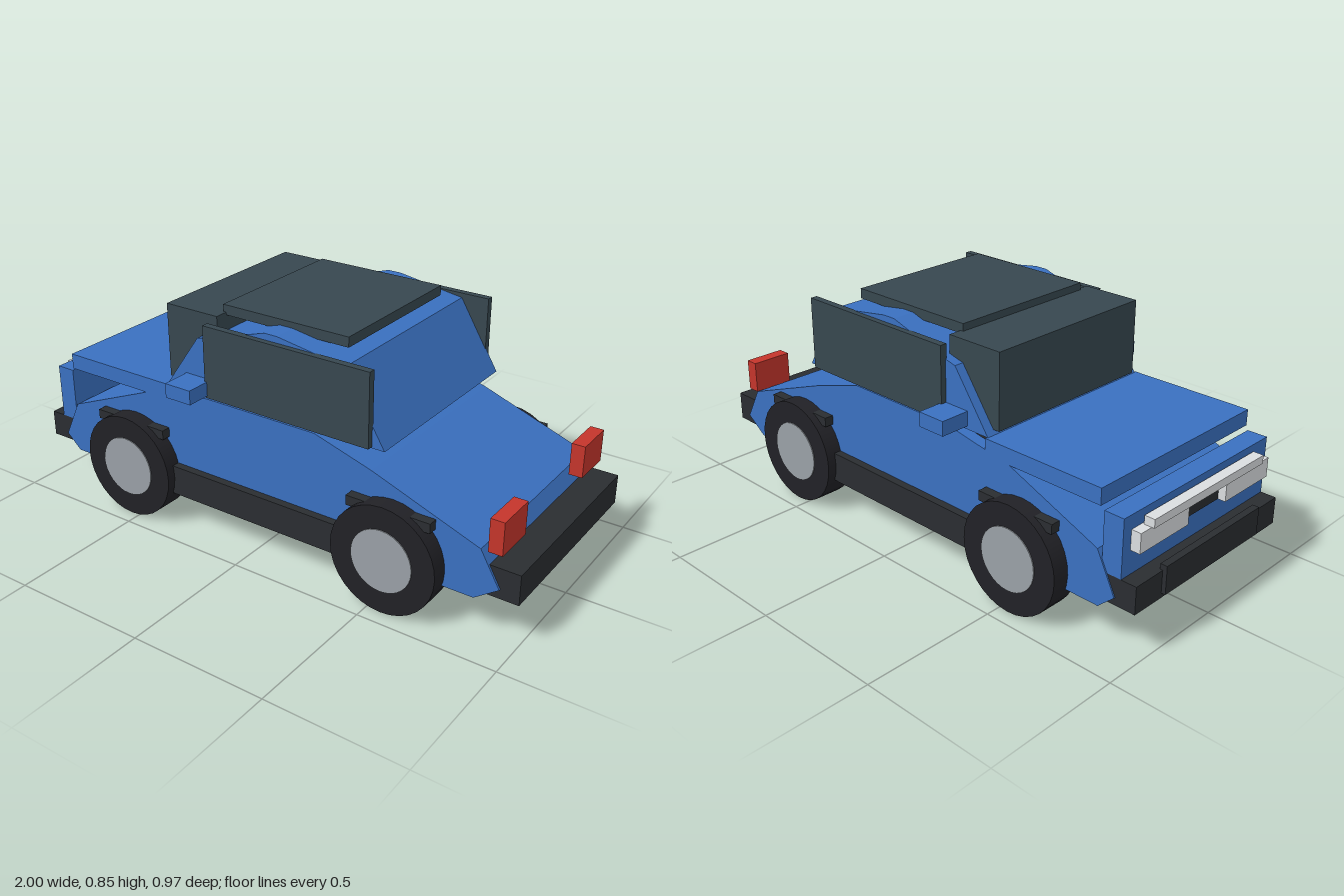
import * as THREE from 'three';

const mat = (color) => new THREE.MeshStandardMaterial({ color });

export function createModel() {
  const car = new THREE.Group();
  car.name = 'car';
  const paint = mat(0x3a70c0), glass = mat(0x37474f), trim = mat(0x2a2d31);
  const tyre = mat(0x212126), hub = mat(0x9aa0a6), lamp = mat(0xdadde0), red = mat(0xc4352b);

  const add = (name, geometry, material) => {
    const mesh = new THREE.Mesh(geometry, material);
    mesh.name = name;
    car.add(mesh);
    return mesh;
  };

  // Box given by its minimum and maximum on each axis
  const box = (name, material, [x0, x1], [y0, y1], [z0, z1]) =>
    add(name, new THREE.BoxGeometry(x1 - x0, y1 - y0, z1 - z0), material)
      .position.set((x0 + x1) / 2, (y0 + y1) / 2, (z0 + z1) / 2);

  // The same box on both sides of the car
  const pair = (name, material, xs, ys, [z0, z1]) => {
    box(name + 'Left', material, xs, ys, [z0, z1]);
    box(name + 'Right', material, xs, ys, [-z1, -z0]);
  };

  // Side profile extruded across the car
  const slab = (name, points, halfWidth) => {
    const shape = new THREE.Shape(points.map(([x, y]) => new THREE.Vector2(x, y)));
    const geometry = new THREE.ExtrudeGeometry(shape, { depth: halfWidth * 2, bevelEnabled: false });
    add(name, geometry.translate(0, 0, -halfWidth), paint);
  };

  // Body and cabin (the nose points to -x)
  slab('lowerBody', [
    [-0.85, 0.14], [0.85, 0.14], [0.935, 0.2], [0.865, 0.323], [0.47, 0.467],
    [0.25, 0.533], [-0.2, 0.533], [-0.48, 0.483], [-0.84, 0.337], [-0.91, 0.195],
  ], 0.383);
  slab('cabin', [
    [-0.38, 0.541], [0.512, 0.541], [0.36, 0.79], [0.23, 0.81], [0.1, 0.83],
    [0.05, 0.83], [-0.19, 0.756], [-0.235, 0.745],
  ], 0.375);
  box('hood', paint, [-0.845, -0.375], [0.483, 0.541], [-0.383, 0.383]);
  box('nosePanel', paint, [-0.928, -0.855], [0.265, 0.47], [-0.378, 0.378]);
  box('cowl', trim, [-0.375, -0.19], [0.5, 0.53], [-0.34, 0.34]);

  // Glass
  box('windscreen', glass, [-0.395, -0.175], [0.555, 0.825], [-0.34, 0.34]);
  box('roofPanel', glass, [-0.187, 0.318], [0.815, 0.851], [-0.29, 0.29]);
  pair('sideWindow', glass, [-0.192, 0.465], [0.545, 0.807], [0.37, 0.396]);
  pair('mirror', paint, [-0.29, -0.183], [0.553, 0.605], [0.375, 0.485]);

  // Underside and sills
  box('underTray', trim, [-0.75, 0.747], [0.122, 0.16], [-0.31, 0.31]);
  pair('sill', trim, [-0.5, 0.52], [0.128, 0.24], [0.3, 0.412]);

  // Bumpers
  box('frontBumper', trim, [-0.985, -0.83], [0.168, 0.265], [-0.378, 0.378]);
  box('frontBumperPad', trim, [-1, -0.975], [0.185, 0.285], [-0.25, 0.25]);
  box('rearBumper', trim, [0.865, 1], [0.165, 0.273], [-0.375, 0.375]);

  // Lights and grille
  box('grille', trim, [-0.935, -0.92], [0.35, 0.42], [-0.12, 0.12]);
  box('noseStrip', lamp, [-0.973, -0.935], [0.42, 0.45], [-0.29, 0.29]);
  pair('headlight', lamp, [-0.963, -0.92], [0.35, 0.42], [0.1, 0.34]);
  pair('tailLight', red, [0.883, 0.932], [0.313, 0.431], [0.215, 0.371]);

  // Wheels with hubs, and the arch trim above them
  for (const [end, x] of [['front', -0.535], ['rear', 0.552]]) {
    pair(end + 'Arch', trim, [x - 0.155, x + 0.155], [0.336, 0.371], [0.34, 0.418]);
    for (const [side, s] of [['Left', 1], ['Right', -1]]) {
      const z = 0.3935 * s;
      add(end + 'Tyre' + side,
        new THREE.CylinderGeometry(0.195, 0.195, 0.105, 32).rotateX(Math.PI / 2), tyre)
        .position.set(x, 0.195, z);
      add(end + 'Hub' + side,
        new THREE.CylinderGeometry(0.113, 0.113, 0.112, 32).rotateX(Math.PI / 2), hub)
        .position.set(x, 0.195, z);
    }
  }
  return car;
}
